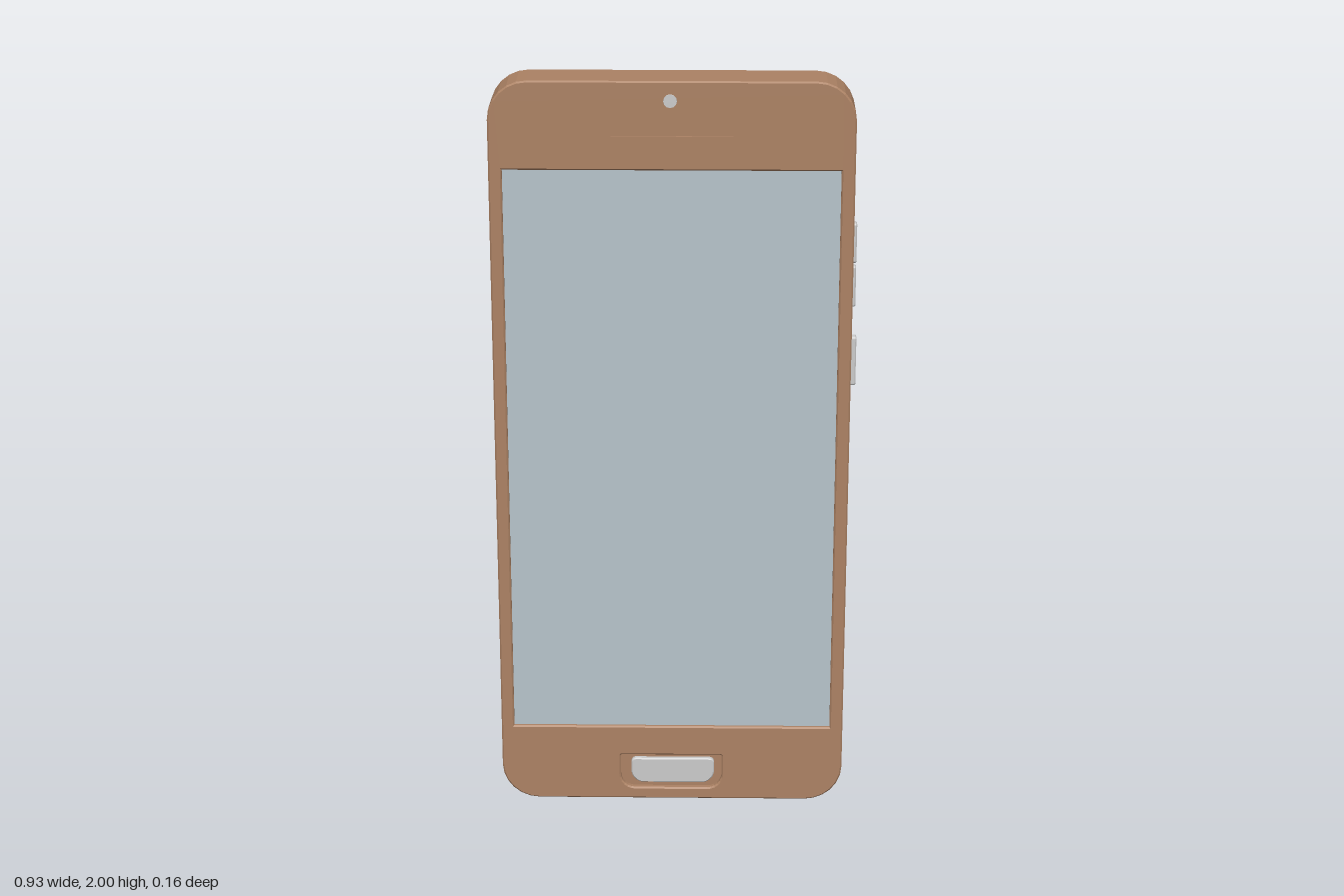
import * as THREE from 'three';

const mat = (color) => new THREE.MeshStandardMaterial({ color });
const BROWN = mat(0xac8264), GREY = mat(0xcccccc), GLASS = mat(0xb7c4cb), DARK = mat(0x444648);

// Rectangle outline with separate top and bottom corner radii
function roundRect(x0, x1, y0, y1, rTop, rBottom = rTop, Type = THREE.Shape) {
  const s = new Type(), q = Math.PI / 2;
  s.moveTo(x0 + rBottom, y0);
  s.lineTo(x1 - rBottom, y0);
  if (rBottom) s.absarc(x1 - rBottom, y0 + rBottom, rBottom, -q, 0);
  s.lineTo(x1, y1 - rTop);
  if (rTop) s.absarc(x1 - rTop, y1 - rTop, rTop, 0, q);
  s.lineTo(x0 + rTop, y1);
  if (rTop) s.absarc(x0 + rTop, y1 - rTop, rTop, q, 2 * q);
  s.lineTo(x0, y0 + rBottom);
  if (rBottom) s.absarc(x0 + rBottom, y0 + rBottom, rBottom, 2 * q, 3 * q);
  return s;
}

// Extrude an outline between two z values, with the bevel kept inside its size
function slab(shape, z0, z1, bevel = 0, curveSegments = 6) {
  return new THREE.ExtrudeGeometry(shape, {
    depth: z1 - z0 - 2 * bevel, curveSegments,
    bevelEnabled: bevel > 0, bevelSize: bevel, bevelThickness: bevel, bevelOffset: -bevel, bevelSegments: 1,
  }).translate(0, 0, z0 + bevel);
}

const box = (x0, x1, y0, y1, z0, z1) =>
  new THREE.BoxGeometry(x1 - x0, y1 - y0, z1 - z0).translate((x0 + x1) / 2, (y0 + y1) / 2, (z0 + z1) / 2);

export function createModel() {
  const phone = new THREE.Group();
  phone.name = 'phone';
  const add = (name, geometry, material, parent = phone) => {
    const mesh = new THREE.Mesh(geometry, material);
    mesh.name = name;
    parent.add(mesh);
    return mesh;
  };

  // Case: a frame with openings for screen and home button, closed by a core panel
  const outline = roundRect(-0.468, 0.452, 0.005, 2, 0.1);
  outline.holes.push(
    roundRect(-0.434, 0.417, 0.223, 1.772, 0, 0, THREE.Path),
    roundRect(-0.147, 0.127, 0.038, 0.137, 0.004, 0.04, THREE.Path),
  );
  add('caseFrame', slab(outline, -0.055, 0.07, 0.004, 3), BROWN);
  add('backPanel', slab(roundRect(-0.463, 0.447, 0.01, 1.995, 0.095), -0.0555, 0.055, 0, 3), BROWN);

  // Front
  add('screen', box(-0.434, 0.417, 0.223, 1.772, 0.05, 0.06), GLASS);
  add('homeButton', slab(roundRect(-0.118, 0.106, 0.052, 0.125, 0.012, 0.035), 0.05, 0.067, 0.003), GREY);
  add('earpiece', box(-0.16, 0.146, 1.84, 1.861, 0.06, 0.0755), BROWN);
  add('frontCamera', new THREE.CylinderGeometry(0.017, 0.019, 0.014, 12)
    .rotateX(Math.PI / 2).translate(-0.012, 1.95, 0.066), GREY);

  // Side buttons
  const buttons = [
    ['volumeUpButton', 1.52, 1.625, 0.461],
    ['volumeDownButton', 1.403, 1.512, 0.461],
    ['powerButton', 1.19, 1.322, 0.466],
  ];
  for (const [name, y0, y1, x] of buttons) {
    const key = slab(roundRect(-0.03, -0.002, y0, y1, 0.006), 0.44, x, 0.003, 3);
    add(name, key.rotateY(Math.PI / 2), GREY);
  }

  // Rear camera block
  const camera = new THREE.Group();
  camera.name = 'rearCamera';
  phone.add(camera);
  add('cameraPlate', slab(roundRect(0.019, 0.379, 1.47, 1.875, 0.085), -0.067, -0.05, 0.004), BROWN, camera);
  const lenses = [
    [0.269, 1.755, 0.07, 0.081],
    [0.269, 1.59, 0.07, 0.081],
    [0.141, 1.672, 0.044, 0.076],
  ];
  for (const [x, y, r, z] of lenses) {
    // Profile: raised rim around a slightly sunken, domed glass
    const profile = [[0, -0.004], [r * 0.45, -0.005], [r * 0.78, -0.007], [r * 0.8, 0], [r * 0.94, 0], [r, -0.004], [r, -0.03]]
      .reverse().map(([a, b]) => new THREE.Vector2(a, b));
    const lens = new THREE.LatheGeometry(profile, 32);
    const mesh = add('cameraLens', lens.rotateX(-Math.PI / 2).translate(x, y, -z), DARK, camera);
    mesh.material = DARK;
  }
  add('flash', slab(roundRect(0.094, 0.176, 1.59, 1.61, 0.006), -0.071, -0.06, 0.002), GREY, camera);

  // Charging port on the bottom edge
  add('portSurround', slab(roundRect(-0.085, 0.07, -0.012, 0.026, 0.012), 0, 0.02)
    .rotateX(-Math.PI / 2).translate(0, 0.002, 0.014), BROWN);
  add('chargingPort', slab(roundRect(-0.06, 0.045, -0.003, 0.017, 0.008), 0, 0.02)
    .rotateX(-Math.PI / 2).translate(0, 0, 0.014), GREY);

  return phone;
}
